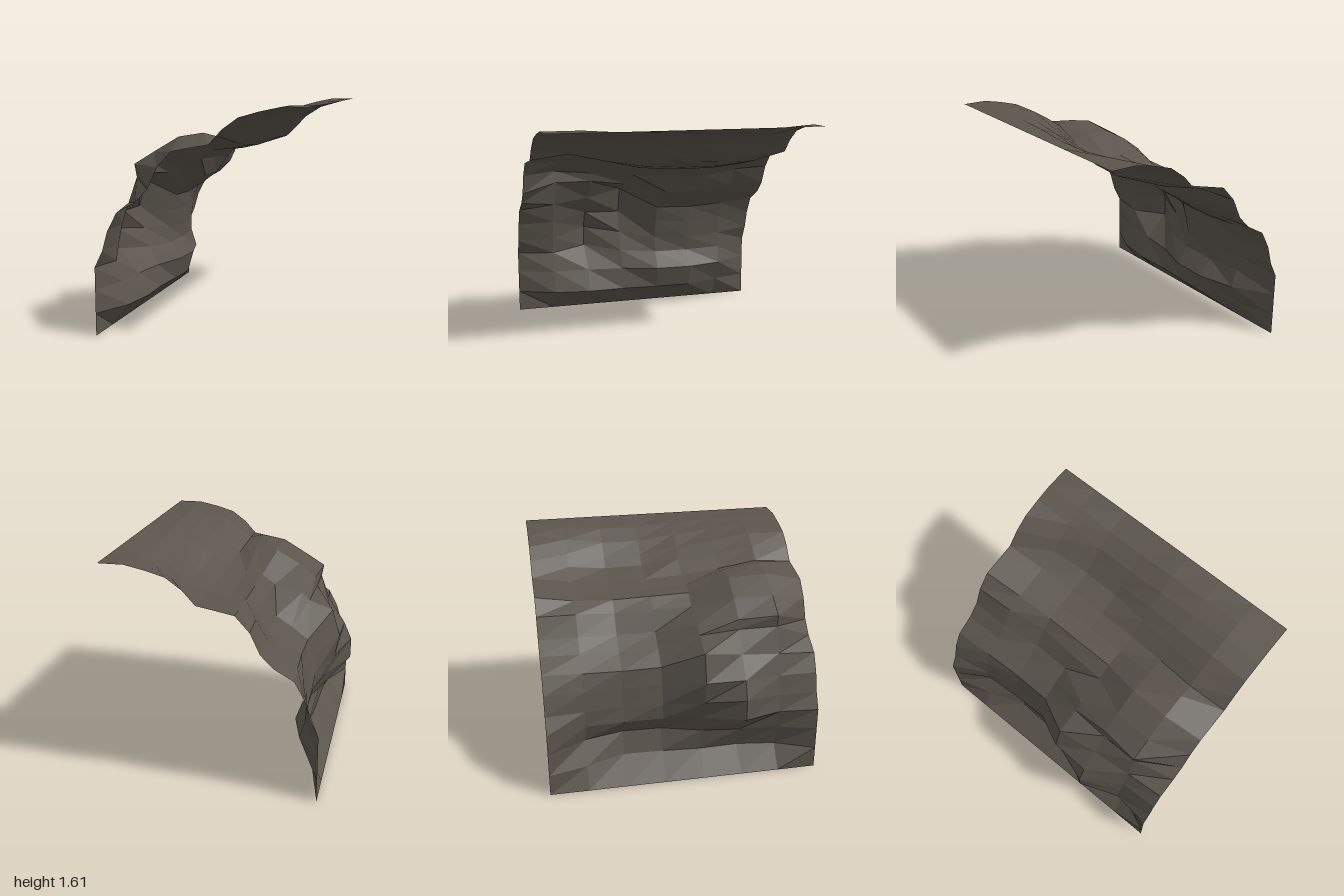
import * as THREE from 'three';

// Overhanging rock sheet: one curved profile swept along z, with facets pushed along the profile normal
const PROFILE = [
  [-0.70, 0], [-0.70, 0.16], [-0.70, 0.33], [-0.70, 0.49], [-0.64, 0.61], [-0.60, 0.75],
  [-0.53, 0.88], [-0.39, 0.96], [-0.30, 1.05], [-0.23, 1.20], [-0.13, 1.31], [0.02, 1.34],
  [0.13, 1.36], [0.22, 1.46], [0.33, 1.54], [0.47, 1.58], [0.61, 1.61], [0.79, 1.61],
].map(([x, y]) => new THREE.Vector2(x, y));

// Relief in hundredths for the inner columns, front to back; one row per inner profile point
const RELIEF = [
  [-13, -17, -16, -18, -19, -8],
  [-8, -10, -14, -23, -24, -17],
  [-4, 8, -8, -15, -15, -13],
  [0, 15, 4, -8, -11, -7],
  [1, 13, 12, -7, -9, -5],
  [4, 9, 17, -4, -5, -3],
  [17, 17, 13, -2, -4, -1],
  [25, 21, 13, -5, -6, 0],
  [15, 13, -4, -6, -9, -2],
  [9, 7, -7, -8, -9, -7],
  [8, 3, -8, -10, -10, -7],
  [4, -3, -8, -10, -10, -7],
  [1, -5, -10, -17, -18, -12],
  [0, -5, -10, -16, -17, -10],
  [0, -3, -6, -10, -10, -5],
  [0, -2, -3, -5, -5, -2],
];

export function createModel() {
  const rows = PROFILE.length - 1;
  const columns = 7;
  const geometry = new THREE.PlaneGeometry(1, 1, columns, rows);
  const position = geometry.attributes.position;

  for (let r = 0; r <= rows; r++) {
    const p = PROFILE[r];
    // Outward normal from the neighbouring profile points
    const t = PROFILE[Math.min(r + 1, rows)].clone().sub(PROFILE[Math.max(r - 1, 0)]).normalize();
    for (let c = 0; c <= columns; c++) {
      // The borders stay on the plain profile
      const d = (RELIEF[r - 1]?.[c - 1] ?? 0) / 100;
      position.setXYZ(r * (columns + 1) + c, p.x - t.y * d, p.y + t.x * d, 1 - (2 * c) / columns);
    }
  }
  geometry.computeVertexNormals();

  const rock = new THREE.Mesh(geometry, new THREE.MeshStandardMaterial({
    color: 0x5a544c, flatShading: true, side: THREE.DoubleSide,
  }));
  rock.name = 'rockOverhang';

  const group = new THREE.Group();
  group.name = 'cliffOverhang';
  group.add(rock);
  return group;
}
